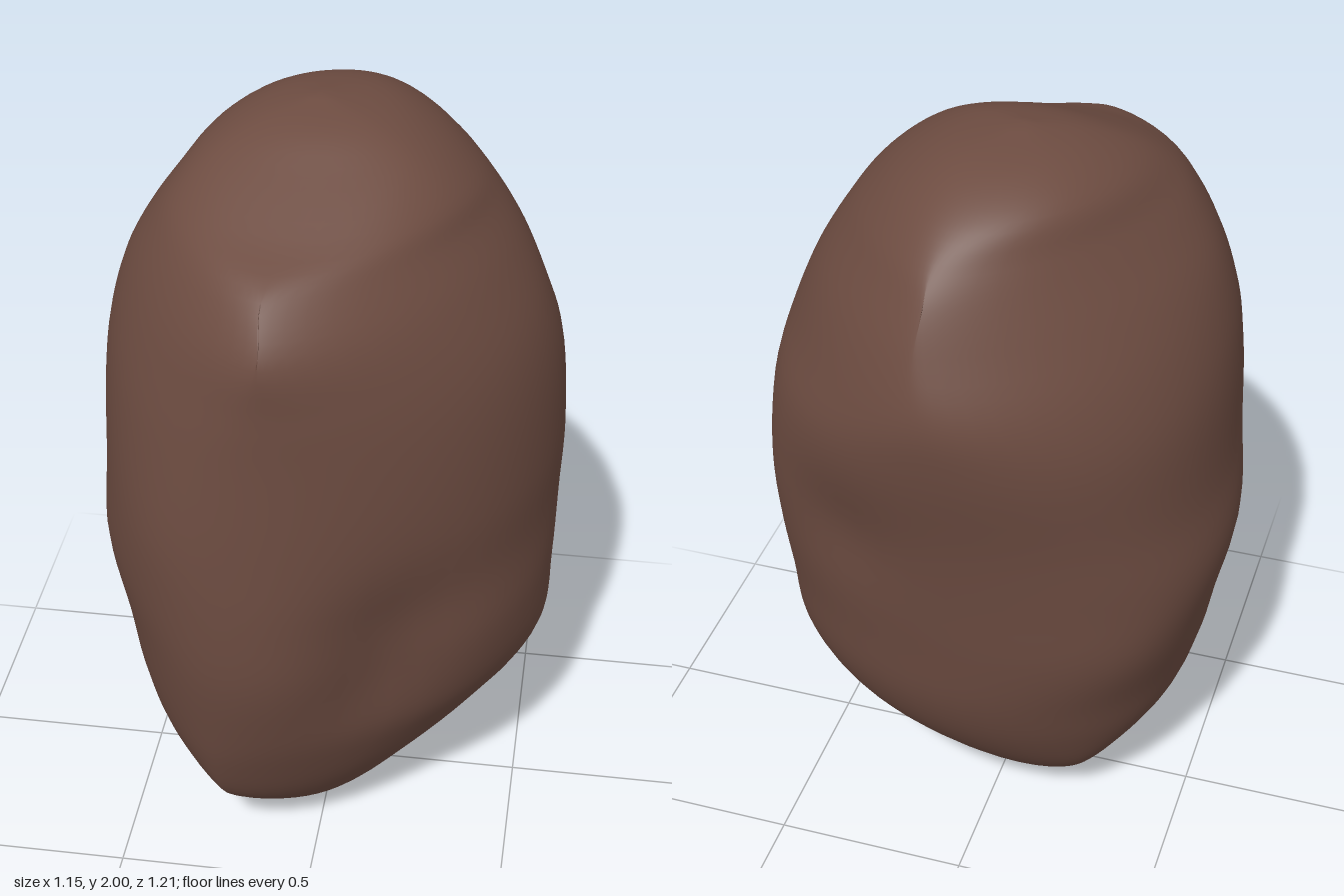
import * as THREE from 'three';
import { mergeVertices } from 'three/addons/utils/BufferGeometryUtils.js';

// Each row: height, then the reach of the outline in eight directions, from +x round through +z
const LEVELS = [
  [0.03, 0.04, 0.12, 0.20, 0.24, 0.21, 0.15, 0.04, 0.01],
  [0.10, 0.15, 0.21, 0.32, 0.36, 0.28, 0.25, 0.17, 0.14],
  [0.20, 0.30, 0.285, 0.42, 0.46, 0.35, 0.34, 0.27, 0.29],
  [0.35, 0.46, 0.375, 0.49, 0.53, 0.45, 0.415, 0.37, 0.435],
  [0.50, 0.55, 0.455, 0.54, 0.57, 0.50, 0.465, 0.43, 0.51],
  [0.70, 0.565, 0.51, 0.59, 0.605, 0.54, 0.535, 0.47, 0.545],
  [0.90, 0.57, 0.515, 0.605, 0.63, 0.578, 0.555, 0.50, 0.58],
  [1.10, 0.575, 0.525, 0.605, 0.637, 0.56, 0.55, 0.535, 0.605],
  [1.35, 0.555, 0.515, 0.60, 0.61, 0.55, 0.548, 0.59, 0.598],
  [1.50, 0.515, 0.49, 0.60, 0.58, 0.53, 0.515, 0.602, 0.555],
  [1.65, 0.45, 0.44, 0.595, 0.535, 0.485, 0.45, 0.56, 0.50],
  [1.76, 0.385, 0.375, 0.515, 0.475, 0.425, 0.395, 0.51, 0.44],
  [1.83, 0.335, 0.325, 0.37, 0.40, 0.375, 0.36, 0.455, 0.395],
  [1.91, 0.245, 0.225, 0.21, 0.28, 0.30, 0.32, 0.365, 0.315],
  [1.97, 0.13, 0.10, 0.085, 0.14, 0.185, 0.22, 0.235, 0.20],
];
const BOTTOM = new THREE.Vector3(-0.1, 0, 0.07);
const TOP = new THREE.Vector3(-0.04, 2, -0.05);

// Shallow hollows: centre, width, height, depth
const HOLLOWS = [
  [new THREE.Vector3(0.19, 0.71, 0.48), 0.19, 0.25, 0.07],
  [new THREE.Vector3(0.3, 1.06, -0.44), 0.16, 0.17, 0.03],
];

// Rounded outline point at an angle, from the eight reaches
function outlinePoint([y, ...reach], angle) {
  let h = 0, dh = 0;
  for (let n = 0; n <= 4; n++) {
    const weight = n % 4 === 0 ? 1 / 8 : 1 / 4;
    let a = 0, b = 0;
    reach.forEach((r, k) => {
      a += weight * r * Math.cos(n * k * Math.PI / 4);
      b += weight * r * Math.sin(n * k * Math.PI / 4);
    });
    const c = Math.cos(n * angle), s = Math.sin(n * angle);
    h += a * c + b * s;
    dh += n * (b * c - a * s);
  }
  const c = Math.cos(angle), s = Math.sin(angle);
  return new THREE.Vector3(h * c - dh * s, y, h * s + dh * c);
}

// Push a surface point towards the upright axis where it lies in a hollow
function pressHollows(p) {
  const inward = new THREE.Vector3(-p.x, 0, -p.z).normalize();
  let push = 0;
  for (const [centre, width, height, depth] of HOLLOWS) {
    const across = Math.hypot(p.x - centre.x, p.z - centre.z) / width;
    const up = (p.y - centre.y) / height;
    push += depth * Math.exp(-across * across - up * up);
  }
  return p.addScaledVector(inward, push);
}

function stoneGeometry(around = 64, along = 72) {
  const positions = [], index = [];
  // Meridians run from the bottom tip to the top
  for (let j = 0; j < around; j++) {
    const angle = j / around * Math.PI * 2;
    const meridian = new THREE.CatmullRomCurve3(
      [BOTTOM, ...LEVELS.map((row) => outlinePoint(row, angle)), TOP], false, 'centripetal');
    for (let i = 0; i <= along; i++) {
      const p = pressHollows(meridian.getPoint(i / along));
      positions.push(p.x, p.y, p.z);
      if (i === along) continue;
      const a = j * (along + 1) + i;
      const b = ((j + 1) % around) * (along + 1) + i;
      if (i > 0) index.push(a, a + 1, b);
      if (i < along - 1) index.push(b, a + 1, b + 1);
    }
  }
  const grid = new THREE.BufferGeometry();
  grid.setAttribute('position', new THREE.Float32BufferAttribute(positions, 3));
  grid.setIndex(index);
  // Join the meridians at both tips
  const geometry = mergeVertices(grid, 1e-5);
  geometry.computeVertexNormals();
  return geometry;
}

export function createModel() {
  const brown = new THREE.MeshStandardMaterial({ color: 0x6d4c41 });
  brown.name = 'earthy brown';
  const stone = new THREE.Mesh(stoneGeometry(), brown);
  stone.name = 'stone';
  const model = new THREE.Group();
  model.name = 'lumpyStone';
  model.add(stone);
  return model;
}
